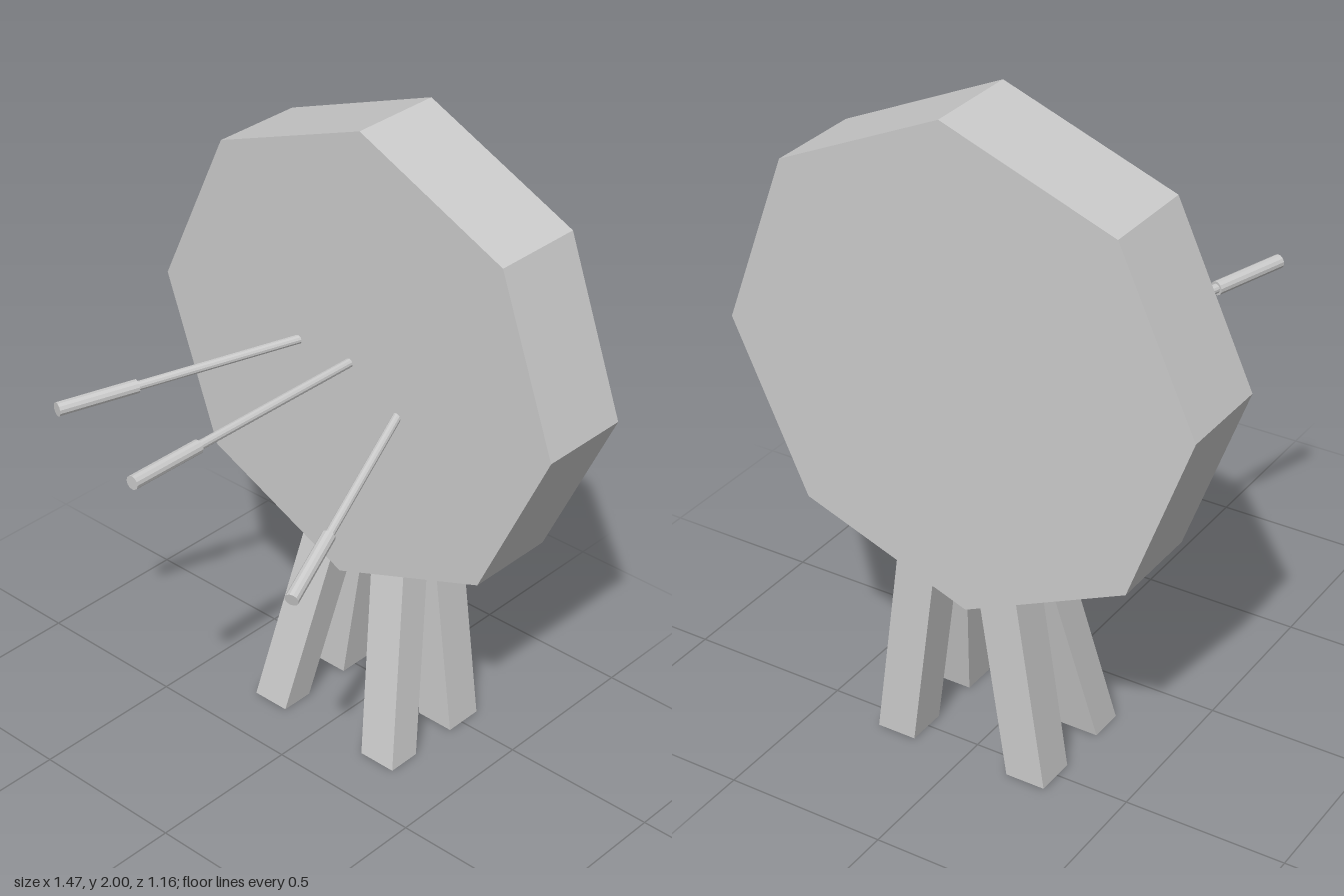
import * as THREE from 'three';

export function createModel() {
  const group = new THREE.Group();
  const material = new THREE.MeshStandardMaterial({ color: 0xcccccc, flatShading: true });

  function add(name, geometry, parent = group) {
    const mesh = new THREE.Mesh(geometry, material);
    mesh.name = name;
    parent.add(mesh);
    return mesh;
  }

  // Octagonal target, turned slightly off its corner
  const target = add('targetBoard', new THREE.CylinderGeometry(0.735, 0.735, 0.3, 8).rotateX(Math.PI / 2));
  target.rotation.z = -0.033;
  target.position.set(0, 1.265, -0.432);

  // Slanted legs: a box sheared so that both ends stay level
  const legHeight = 0.63;
  function leg(name, x, z, depth, leanX, leanZ) {
    const geometry = new THREE.BoxGeometry(0.125, legHeight, depth).translate(0, legHeight / 2, 0);
    const p = geometry.attributes.position;
    for (let i = 0; i < p.count; i++) {
      const t = p.getY(i) / legHeight;
      p.setX(i, p.getX(i) + leanX * t);
      p.setZ(i, p.getZ(i) + leanZ * t);
    }
    geometry.computeVertexNormals();
    add(name, geometry).position.set(x, 0, z);
  }
  for (const [side, x, lean] of [['Right', -0.208, 0.09], ['Left', 0.235, -0.09]]) {
    leg('front' + side + 'Leg', x, -0.227, 0.11, lean, -0.133);
    leg('back' + side + 'Leg', x, -0.508, 0.128, lean, 0);
  }

  // Rods stuck in the face, each a thin shaft with a thicker grip at its end
  const gripLength = 0.25;
  function rod(name, from, to) {
    const start = new THREE.Vector3(...from);
    const direction = new THREE.Vector3(...to).sub(start);
    const length = direction.length();
    const part = new THREE.Group();
    part.name = name;
    part.position.copy(start);
    part.quaternion.setFromUnitVectors(new THREE.Vector3(0, 1, 0), direction.normalize());
    const shaftLength = length - gripLength;
    add('shaft', new THREE.CylinderGeometry(0.014, 0.014, shaftLength + 0.04, 12), part).position.y = shaftLength / 2 - 0.01;
    add('grip', new THREE.CylinderGeometry(0.021, 0.021, gripLength, 12), part).position.y = length - gripLength / 2;
    group.add(part);
  }
  rod('centreRod', [0, 1.265, -0.285], [0, 1.265, 0.583]);
  rod('rightRod', [-0.198, 1.265, -0.285], [-0.422, 1.265, 0.463]);
  rod('leftRod', [0.182, 1.158, -0.285], [0.41, 0.987, 0.4]);

  return group;
}
